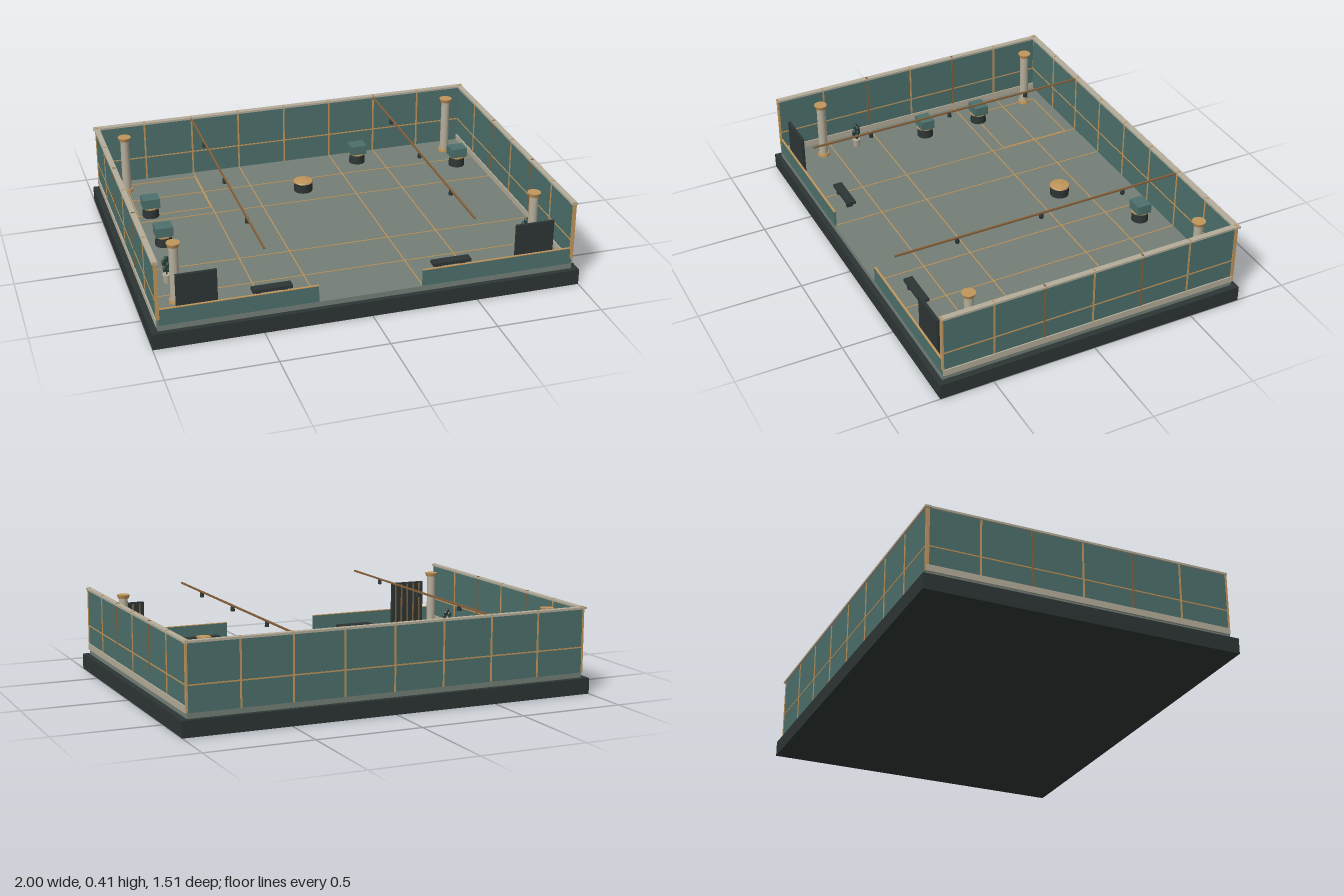
import * as THREE from 'three';

const mat = (name, color, side = THREE.FrontSide) => {
  const m = new THREE.MeshStandardMaterial({ color, side });
  m.name = name;
  return m;
};

export function createModel() {
  const root = new THREE.Group();
  root.name = 'showroom';
  const dark = mat('charcoal', 0x2d3534);
  const teal = mat('teal panel', 0x4c706c);
  const stone = mat('floor stone', 0x747f77);
  const cream = mat('pale trim', 0xb5ad9a);
  const brass = mat('brass', 0xc0955a);
  const bronze = mat('bronze', 0x86603a);
  const leaf = mat('foliage', 0x26403a);

  const add = (name, geo, m, x, y, z, parent = root) => {
    const mesh = new THREE.Mesh(geo, m);
    mesh.name = name;
    mesh.position.set(x, y, z);
    parent.add(mesh);
    return mesh;
  };
  // Box given by its extents on each axis
  const span = (name, m, x0, x1, y0, y1, z0, z1, parent = root) =>
    add(name, new THREE.BoxGeometry(x1 - x0, y1 - y0, z1 - z0), m,
      (x0 + x1) / 2, (y0 + y1) / 2, (z0 + z1) / 2, parent);
  // Upright cylinder standing on y0
  const drum = (name, m, rTop, rBottom, y0, y1, x, z, parent = root, sides = 24) =>
    add(name, new THREE.CylinderGeometry(rTop, rBottom, y1 - y0, sides), m, x, (y0 + y1) / 2, z, parent);
  const group = (name, x = 0, z = 0) => {
    const g = new THREE.Group();
    g.name = name;
    g.position.set(x, 0, z);
    root.add(g);
    return g;
  };

  // Plinth and floor
  span('plinth', dark, -1, 1, 0, 0.075, -0.755, 0.755);
  span('floor', stone, -0.97, 0.97, 0.075, 0.1, -0.73, 0.73);

  // Floor inlay strips
  const w = 0.0025;
  for (const x of [-0.485, -0.243, 0.243, 0.485])
    span('floorStripLong', brass, x - w, x + w, 0.0995, 0.102, -0.72, 0.72);
  for (const z of [-0.485, -0.243, 0.243, 0.482])
    span('floorStripCross', brass, -0.96, 0.96, 0.0995, 0.102, z - w, z + w);
  const inlay = group('floorInlayFrame');
  for (const z of [-0.665, -0.305])
    span('inlayEdge', brass, -0.85, -0.49, 0.0995, 0.103, z - w, z + w, inlay);
  for (const x of [-0.85, -0.49])
    span('inlayEdge', brass, x - w, x + w, 0.0995, 0.103, -0.665, -0.305, inlay);

  // Back wall
  span('backWall', teal, -0.97, 0.97, 0.1, 0.4, -0.733, -0.722);
  span('backWallLine', brass, -0.97, 0.97, 0.217, 0.223, -0.735, -0.72);
  span('backTopRail', cream, -0.983, 0.983, 0.4, 0.41, -0.743, -0.715);
  for (let i = -4; i <= 4; i++) {
    const x = i * 0.2425;
    span('backWallPost', brass, x - 0.004, x + 0.004, 0.1, 0.412, -0.736, -0.719);
  }

  // Side walls
  for (const s of [-1, 1]) {
    const side = group(s > 0 ? 'leftWall' : 'rightWall');
    const c = s * 0.967;
    const slab = (name, m, half, y0, y1, z0, z1) =>
      span(name, m, c - half, c + half, y0, y1, z0, z1, side);
    slab('sidePanel', teal, 0.005, 0.1, 0.4, -0.73, 0.728);
    slab('sideSkirting', cream, 0.011, 0.1, 0.13, -0.73, 0.728);
    slab('sideWallLine', brass, 0.007, 0.217, 0.223, -0.73, 0.728);
    slab('sideTopRail', cream, 0.013, 0.4, 0.41, -0.743, 0.73);
    for (let i = -3; i <= 3; i++) {
      const z = i * 0.242;
      slab('sideWallPost', Math.abs(i) === 1 ? bronze : brass, 0.008, 0.13, 0.412, z - 0.004, z + 0.004);
    }
  }

  // Low front walls with screens and benches behind them
  for (const s of [-1, 1]) {
    const x0 = s < 0 ? -0.965 : 0.243, x1 = s < 0 ? -0.243 : 0.965;
    span('lowFrontWall', teal, x0, x1, 0.1, 0.178, 0.719, 0.729);
    span('lowWallCap', brass, x0, x1, 0.178, 0.181, 0.719, 0.729);

    const screen = group('displayScreen', s * 0.787, 0.703);
    span('screenPanel', dark, -0.092, 0.092, 0.1, 0.325, -0.007, 0.007, screen);
    for (let i = -2; i <= 2; i++)
      span('screenSlat', bronze, i * 0.035 - 0.004, i * 0.035 + 0.004, 0.11, 0.318, -0.01, -0.007, screen);

    const bench = group('bench', s * 0.425, 0.602);
    span('benchSeat', dark, -0.092, 0.092, 0.127, 0.142, -0.022, 0.022, bench);
    for (const x of [-0.06, 0.06])
      span('benchLeg', dark, x - 0.008, x + 0.008, 0.1, 0.127, -0.016, 0.016, bench);
  }

  // Corner columns
  for (const x of [-0.85, 0.847])
    for (const z of [-0.61, 0.543]) {
      const col = group('column', x, z);
      drum('columnBase', brass, 0.028, 0.03, 0.1, 0.115, 0, 0, col);
      drum('columnShaft', cream, 0.021, 0.022, 0.115, 0.378, 0, 0, col);
      drum('columnCapital', brass, 0.032, 0.026, 0.378, 0.396, 0, 0, col);
    }

  // Display stands: round foot, brass collar, teal case
  for (const [x, z] of [[-0.79, -0.308], [-0.79, 0], [0.362, -0.608], [0.847, -0.425]]) {
    const stand = group('displayStand', x, z);
    drum('standFoot', dark, 0.038, 0.041, 0.1, 0.147, 0, 0, stand);
    drum('standCollar', brass, 0.043, 0.043, 0.147, 0.153, 0, 0, stand);
    span('standCase', teal, -0.042, 0.042, 0.153, 0.2, -0.036, 0.036, stand);
  }

  // Round central table with a faceted brass top
  const table = group('roundTable', 0, -0.365);
  drum('tableDrum', dark, 0.046, 0.046, 0.1, 0.148, 0, 0, table);
  drum('tableTop', brass, 0.046, 0.049, 0.148, 0.154, 0, 0, table);
  add('tableCone', new THREE.ConeGeometry(0.046, 0.006, 16), brass, 0, 0.157, 0, table);

  // Overhead rails with small spotlights
  for (const x of [-0.487, 0.483]) {
    span('lightRail', bronze, x - 0.004, x + 0.004, 0.399, 0.407, -0.722, 0.724);
    for (const z of [-0.425, 0, 0.422])
      drum('spotlight', dark, 0.009, 0.01, 0.377, 0.4, x, z, root, 12);
  }

  // Potted plants
  for (const [x, z] of [[-0.85, 0.362], [0.845, 0.482]]) {
    const plant = group('pottedPlant', x, z);
    drum('plantPot', cream, 0.02, 0.015, 0.1, 0.142, 0, 0, plant, 12);
    drum('plantStem', leaf, 0.004, 0.004, 0.142, 0.18, 0, 0, plant, 6);
    for (let i = 0; i < 7; i++) {
      const a = i * 2.4, r = i === 6 ? 0 : 0.012;
      const tuft = add('leafTuft', new THREE.IcosahedronGeometry(0.012, 0), leaf,
        Math.cos(a) * r, 0.165 + i * 0.009, Math.sin(a) * r, plant);
      tuft.scale.y = 1.5;
    }
  }
  return root;
}
